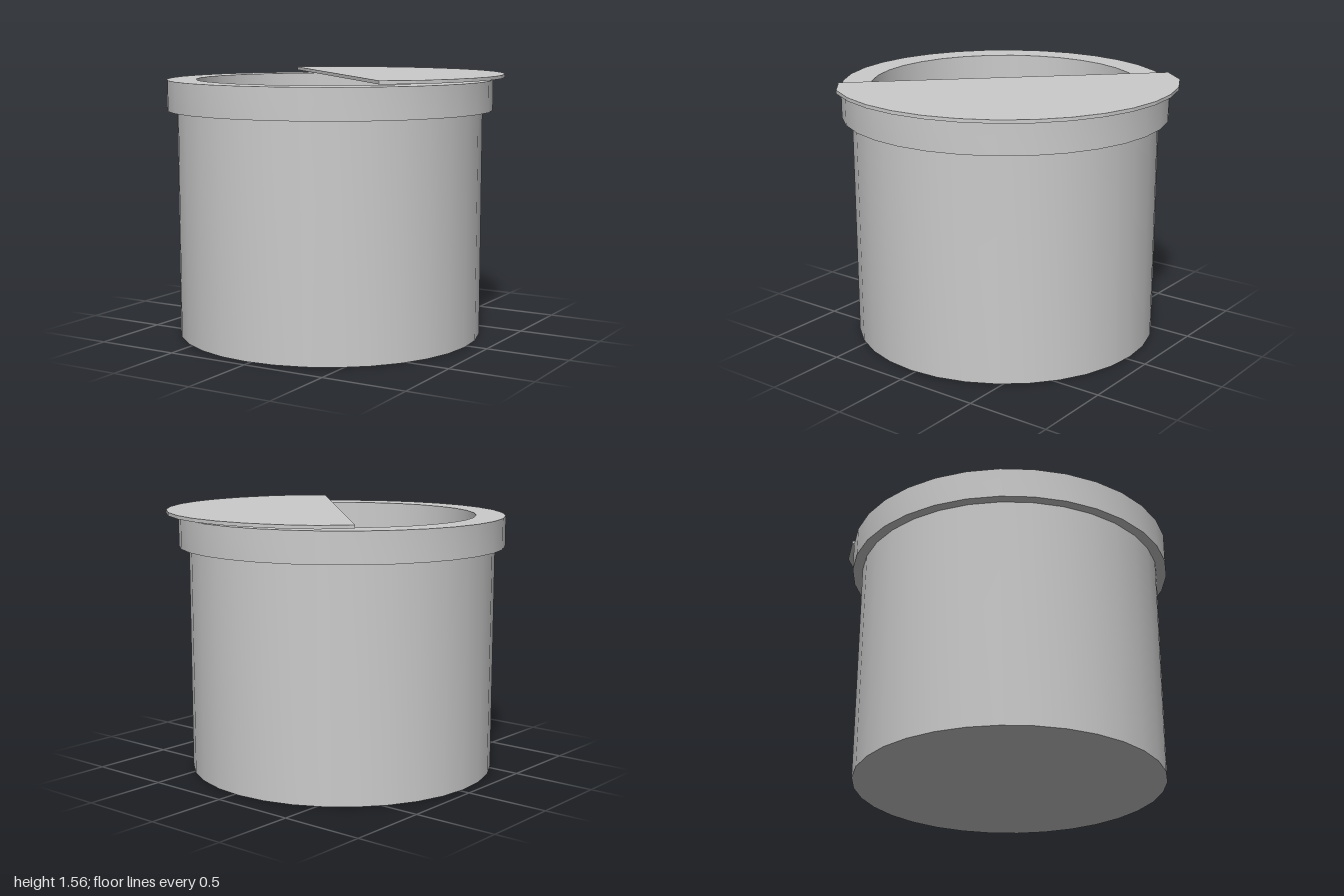
import * as THREE from 'three';
import { toCreasedNormals } from 'three/addons/utils/BufferGeometryUtils.js';

const SIDES = 32;

export function createModel() {
  const model = new THREE.Group();
  model.name = 'potWithHalfLid';
  const material = new THREE.MeshStandardMaterial({ color: 0xcccccc });

  // Hollow pot with a raised collar: outside going up, then inside going down
  const profile = [
    [0, 0], [0.9075, 0], [0.9075, 1.345], [0.9675, 1.345],
    [0.9675, 1.525], [0.795, 1.525], [0.795, 0.11], [0, 0.11],
  ].map(([r, y]) => new THREE.Vector2(r, y));
  const pot = new THREE.Mesh(
    toCreasedNormals(new THREE.LatheGeometry(profile, SIDES), 0.6), material);
  pot.name = 'pot';
  pot.position.set(-0.0325, 0, 0.0325);
  model.add(pot);

  // Half-disc lid hovering over the back left half, chord along the diagonal
  const points = [];
  for (let i = 0; i <= SIDES / 2; i++) {
    const angle = -Math.PI / 4 + (i * 2 * Math.PI) / SIDES;
    const r = i === 0 || i === SIDES / 2 ? 0.98 : 1.0175;
    points.push(new THREE.Vector2(r * Math.cos(angle), r * Math.sin(angle)));
  }
  const lidGeometry = new THREE.ExtrudeGeometry(new THREE.Shape(points), {
    depth: 0.02, bevelEnabled: false,
  });
  lidGeometry.rotateX(-Math.PI / 2);
  const lid = new THREE.Mesh(lidGeometry, material);
  lid.name = 'halfLid';
  lid.position.set(-0.0175, 1.539, 0.0175);
  model.add(lid);

  return model;
}
